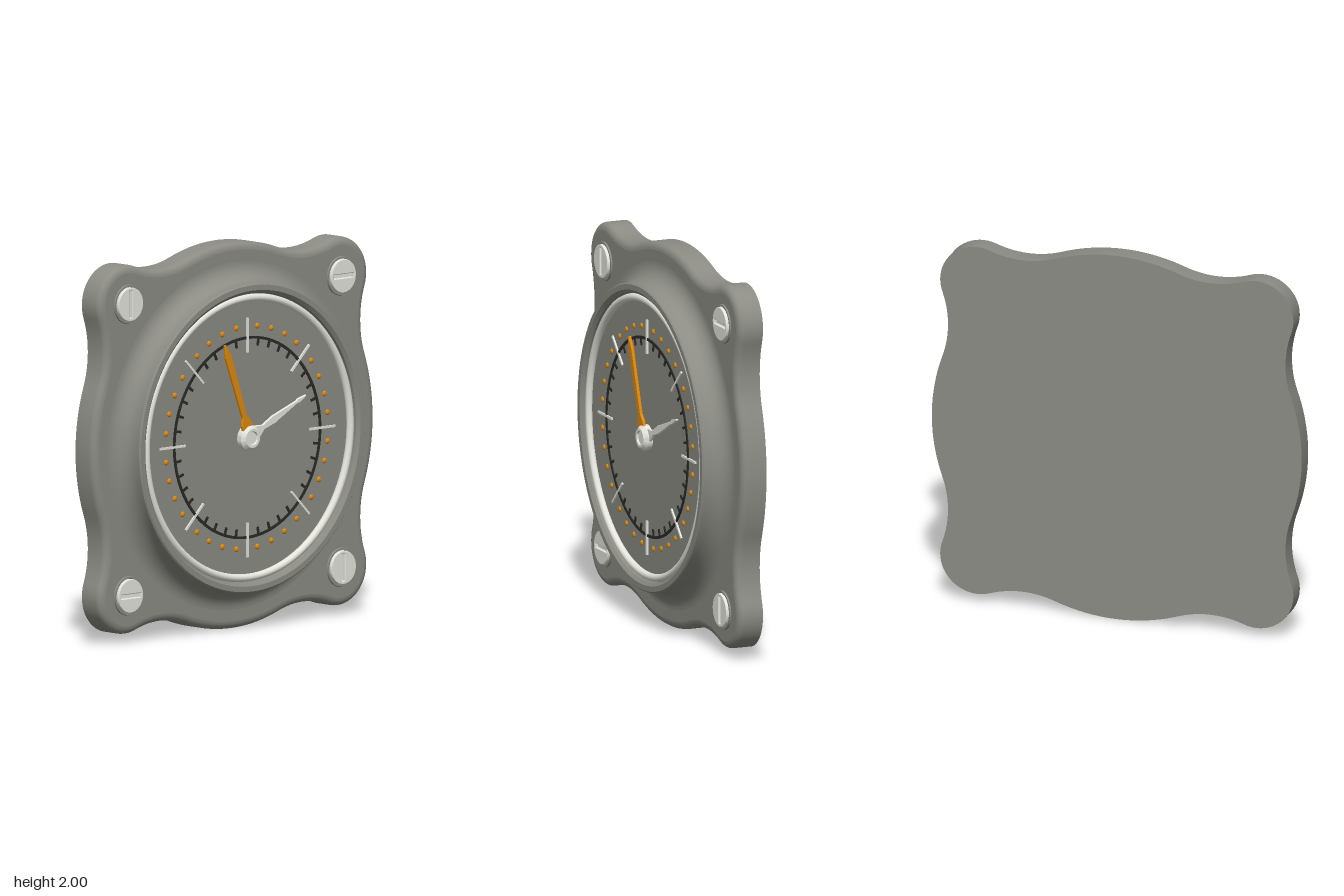
import * as THREE from 'three';
import { toCreasedNormals, mergeGeometries } from 'three/addons/utils/BufferGeometryUtils.js';

const mat = (color) => new THREE.MeshStandardMaterial({ color });
const GREY = mat(0x8c8c85), LIGHT = mat(0xe6e6de), ORANGE = mat(0xe08a0a), BLACK = mat(0x2a2a28);
const RAD = Math.PI / 180;
const DIAL_Z = 0.09;

// Plate outline: a disc and four corner lobes joined by concave fillets, inset by o
function outline(o) {
  const R = 1, r = 0.2, f = 0.53, d = 0.755 * Math.SQRT2, D = R + f;
  const phi = Math.acos((D * D + d * d - (r + f) ** 2) / (2 * D * d));
  const beta = Math.atan2(D * Math.sin(phi), D * Math.cos(phi) - d);
  const pts = [];
  const arc = (dist, dir, rad, a0, a1, turn, n) => {
    for (let i = 0; i < n; i++) {
      const a = turn + a0 + (a1 - a0) * i / n;
      pts.push(new THREE.Vector2(
        dist * Math.cos(turn + dir) + rad * Math.cos(a),
        dist * Math.sin(turn + dir) + rad * Math.sin(a)));
    }
  };
  for (let k = 0; k < 4; k++) {
    const t = Math.PI / 4 + k * Math.PI / 2;
    arc(0, 0, R - o, phi - Math.PI / 2, -phi, t, 20);
    arc(D, -phi, f + o, Math.PI - phi, Math.PI - beta, t, 12);
    arc(d, 0, r - o, -beta, beta, t, 20);
    arc(D, phi, f + o, Math.PI + beta, Math.PI + phi, t, 12);
  }
  return pts;
}

// Skin between successive outlines given as [inset, z]
function loft(sections) {
  const pos = [], idx = [];
  let n = 0;
  sections.forEach(([o, z]) => {
    const ring = outline(o);
    n = ring.length;
    ring.forEach((p) => pos.push(p.x, p.y, z));
  });
  for (let s = 0; s < sections.length - 1; s++) {
    for (let i = 0; i < n; i++) {
      const a = s * n + i, b = s * n + (i + 1) % n;
      idx.push(a, b, b + n, a, b + n, a + n);
    }
  }
  const g = new THREE.BufferGeometry();
  g.setAttribute('position', new THREE.Float32BufferAttribute(pos, 3));
  g.setIndex(idx);
  return toCreasedNormals(g, 0.7);
}

// Turned part facing +z from [radius, z] pairs
function turned(profile, segments = 96) {
  const g = new THREE.LatheGeometry(profile.map(([r, z]) => new THREE.Vector2(r, z)), segments);
  return toCreasedNormals(g.rotateX(Math.PI / 2), 0.6);
}

// Symmetric pointer along +y from [halfWidth, y] pairs
function pointer(half, z) {
  const left = half.map(([w, y]) => new THREE.Vector2(-w, y)).reverse();
  const shape = new THREE.Shape([...half.map(([w, y]) => new THREE.Vector2(w, y)), ...left]);
  return new THREE.ExtrudeGeometry(shape, {
    depth: 0.008, bevelThickness: 0.004, bevelSize: 0.003, bevelSegments: 1,
  }).translate(0, 0, z);
}

export function createModel() {
  const model = new THREE.Group();
  model.name = 'dialGauge';
  const body = new THREE.Group();
  body.position.y = 1;
  model.add(body);
  const add = (name, geometry, material, parent = body) => {
    const m = new THREE.Mesh(geometry, material);
    m.name = name;
    parent.add(m);
    return m;
  };

  // Mounting plate with a rounded front edge
  const edge = [[0, -0.135], [0, -0.035]];
  for (let i = 1; i <= 5; i++) {
    const a = i / 5 * Math.PI / 2;
    edge.push([0.04 * (1 - Math.cos(a)), -0.035 + 0.035 * Math.sin(a)]);
  }
  add('plateEdge', loft(edge), GREY);
  add('plateFront', new THREE.ShapeGeometry(new THREE.Shape(outline(0.04))), GREY);
  add('plateBack', new THREE.ShapeGeometry(new THREE.Shape(outline(0)))
    .rotateY(Math.PI).translate(0, 0, -0.135), GREY);

  // Raised housing flowing out of the plate
  const rim = [];
  for (let i = 0; i <= 10; i++) {
    const a = i / 10 * Math.PI / 2;
    rim.push([0.9 - 0.1 * Math.sin(a), 0.1 - 0.1 * Math.cos(a)]);
  }
  rim.push([0.8, 0.128], [0.793, 0.135], [0.765, 0.135], [0.748, 0.12], [0.745, 0.085]);
  add('housingRim', turned(rim, 128), GREY);
  add('bezelRing', new THREE.TorusGeometry(0.724, 0.02, 12, 128).translate(0, 0, 0.1), LIGHT);
  add('dialFace', new THREE.CircleGeometry(0.75, 96).translate(0, 0, DIAL_Z), GREY);

  // Scale ring with short inner ticks
  const scale = [turned([[0.524, DIAL_Z], [0.524, 0.096], [0.51, 0.096], [0.51, DIAL_Z]], 128)];
  const bar = (len, width, r, angle, h) => new THREE.BoxGeometry(width, len, h)
    .translate(0, r, DIAL_Z + h / 2).rotateZ(angle).toNonIndexed();
  for (let i = 0; i < 40; i++) {
    if (i % 5) scale.push(bar(0.04, 0.013, 0.495, i * 9 * RAD, 0.006));
  }
  add('scaleRing', mergeGeometries(scale), BLACK);

  // Long ticks at every eighth turn
  const ticks = [];
  for (let i = 0; i < 8; i++) ticks.push(bar(0.18, 0.012, 0.53, i * Math.PI / 4, 0.009));
  add('majorTicks', mergeGeometries(ticks), LIGHT);

  // Outer dots, eight to each quarter
  const dots = [];
  for (let q = 0; q < 4; q++) {
    for (const deg of [7.4, 17.5, 27.6, 37.8, 52.2, 62.4, 72.5, 82.6]) {
      const a = (q * 90 + deg) * RAD;
      dots.push(new THREE.SphereGeometry(0.015, 12, 8).scale(1, 1, 0.6)
        .translate(0.577 * Math.cos(a), 0.577 * Math.sin(a), DIAL_Z));
    }
  }
  add('scaleDots', mergeGeometries(dots), ORANGE);

  // Hands and hub
  add('longHand', pointer([[0.034, 0.03], [0.034, 0.08], [0.014, 0.12], [0.019, 0.46], [0.003, 0.525]], 0.11),
    ORANGE).rotation.z = 19.8 * RAD;
  add('shortHand', pointer([[0.034, 0.03], [0.03, 0.07], [0.011, 0.11], [0.019, 0.19], [0.005, 0.37],
    [0.01, 0.385], [0.001, 0.44]], 0.1), LIGHT).rotation.z = -65.8 * RAD;
  add('hub', turned([[0.068, DIAL_Z], [0.068, 0.118], [0.05, 0.137], [0.036, 0.137], [0.032, 0.128], [0, 0.128]], 48),
    LIGHT);

  // Slotted corner screws
  for (const x of [-1, 1]) {
    for (const y of [-1, 1]) {
      const screw = new THREE.Group();
      screw.name = 'screw';
      screw.position.set(x * 0.755, y * 0.755, 0);
      if (x === y) screw.rotation.z = Math.PI / 2;
      body.add(screw);
      const head = new THREE.Shape().absarc(0, 0, 0.084, 0, Math.PI * 2);
      const w = 0.014, l = 0.073;
      head.holes.push(new THREE.Path([[-w, -l], [-w, l], [w, l], [w, -l]].map((p) => new THREE.Vector2(...p))));
      add('screwHead', new THREE.ExtrudeGeometry(head, {
        depth: 0.012, bevelThickness: 0.006, bevelSize: 0.004, bevelSegments: 2, curveSegments: 32,
      }).translate(0, 0, 0.004), LIGHT, screw);
      add('slotFloor', new THREE.CircleGeometry(0.08, 32).translate(0, 0, 0.006), LIGHT, screw);
      add('screwSeat', turned([[0.102, 0], [0.1, 0.008], [0.09, 0.008], [0.088, 0]], 48), GREY, screw);
    }
  }
  return model;
}
